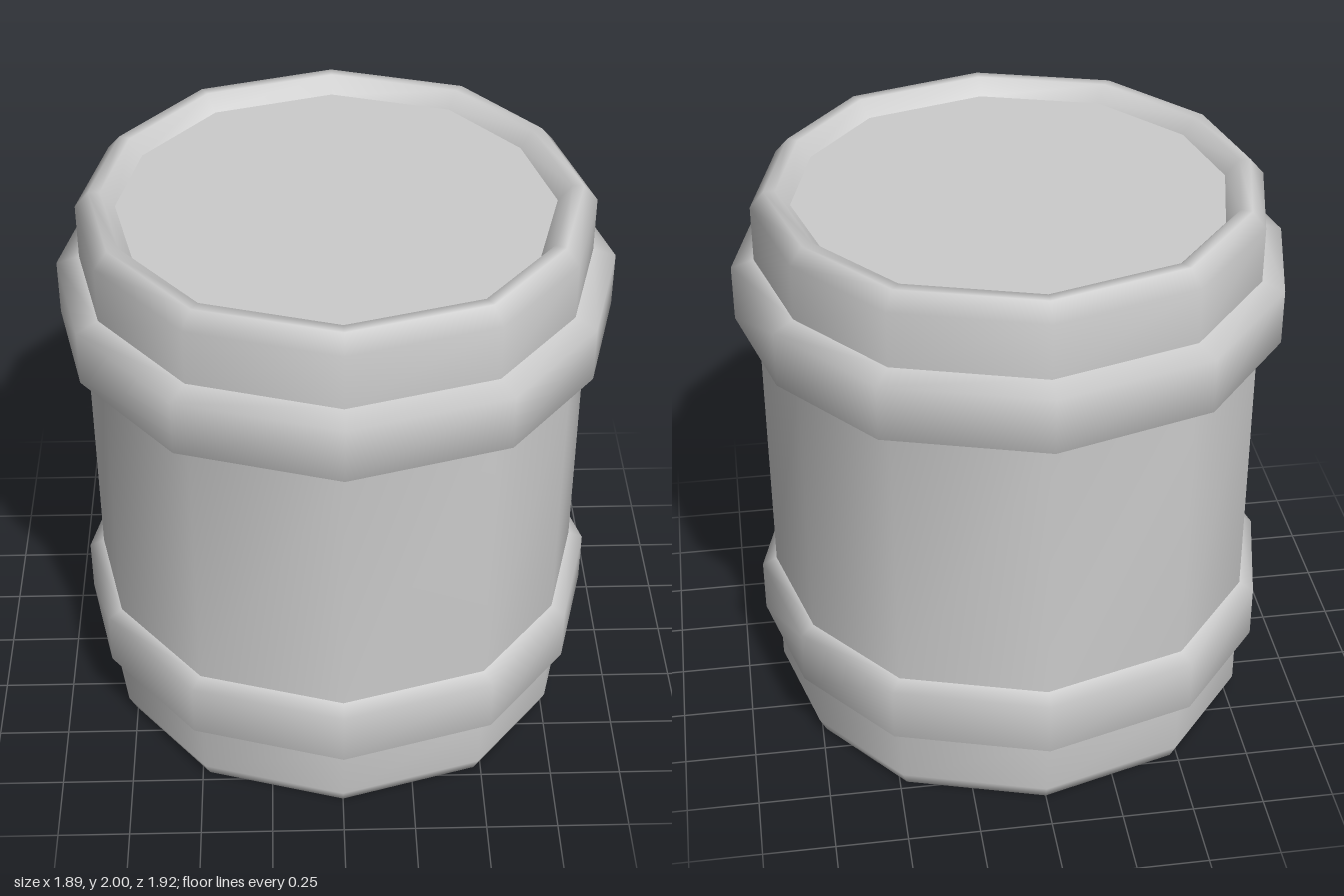
import * as THREE from 'three';

// Twelve-sided outline of the barrel wall, from the front round to the left (x, z)
const OUTLINE = [
  [0, 0.88], [0.49, 0.735], [0.76, 0.405], [0.867, 0], [0.76, -0.41], [0.49, -0.74],
  [0, -0.885], [-0.49, -0.74], [-0.78, -0.39], [-0.868, 0], [-0.78, 0.385], [-0.49, 0.735],
];

// Sweeps a profile of [outline scale, height] around the outline, smooth shaded
function loft(name, profile, material) {
  const n = OUTLINE.length;
  const positions = [];
  const index = [];
  for (const [s, y] of profile) {
    for (const [x, z] of OUTLINE) positions.push(x * s, y, z * s);
  }
  for (let i = 0; i < profile.length - 1; i++) {
    for (let j = 0; j < n; j++) {
      const k = (j + 1) % n;
      const a = i * n + j, b = i * n + k, c = b + n, d = a + n;
      index.push(a, b, c, a, c, d);
    }
  }
  const geometry = new THREE.BufferGeometry();
  geometry.setAttribute('position', new THREE.Float32BufferAttribute(positions, 3));
  geometry.setIndex(index);
  geometry.computeVertexNormals();
  const mesh = new THREE.Mesh(geometry, material);
  mesh.name = name;
  return mesh;
}

// Hoop with bevelled edges, standing out from the wall
function hoop(name, y, scale, material) {
  return loft(name, [[1, y], [scale, y + 0.03], [scale, y + 0.225], [1, y + 0.25]], material);
}

export function createModel() {
  const group = new THREE.Group();
  group.name = 'barrel';
  const material = new THREE.MeshStandardMaterial({ color: 0xcccccc });

  group.add(
    // Wall between the hoops
    loft('wall', [[1, 0.5], [1, 1.5]], material),
    hoop('lowerHoop', 0.25, 1.06, material),
    hoop('upperHoop', 1.5, 1.09, material),
    // Bevelled rims that turn inwards to the lid and base
    loft('topRim', [[1, 1.75], [1, 1.945], [0.945, 2], [0.9, 2], [0.847, 1.945]], material),
    loft('bottomRim', [[0.77, 0.11], [0.79, 0.05], [0.85, 0], [0.97, 0], [1, 0.055], [1, 0.25]], material),
    // Recessed lid and base
    loft('lid', [[0.847, 1.945], [0, 1.945]], material),
    loft('base', [[0, 0.11], [0.77, 0.11]], material),
  );
  return group;
}
